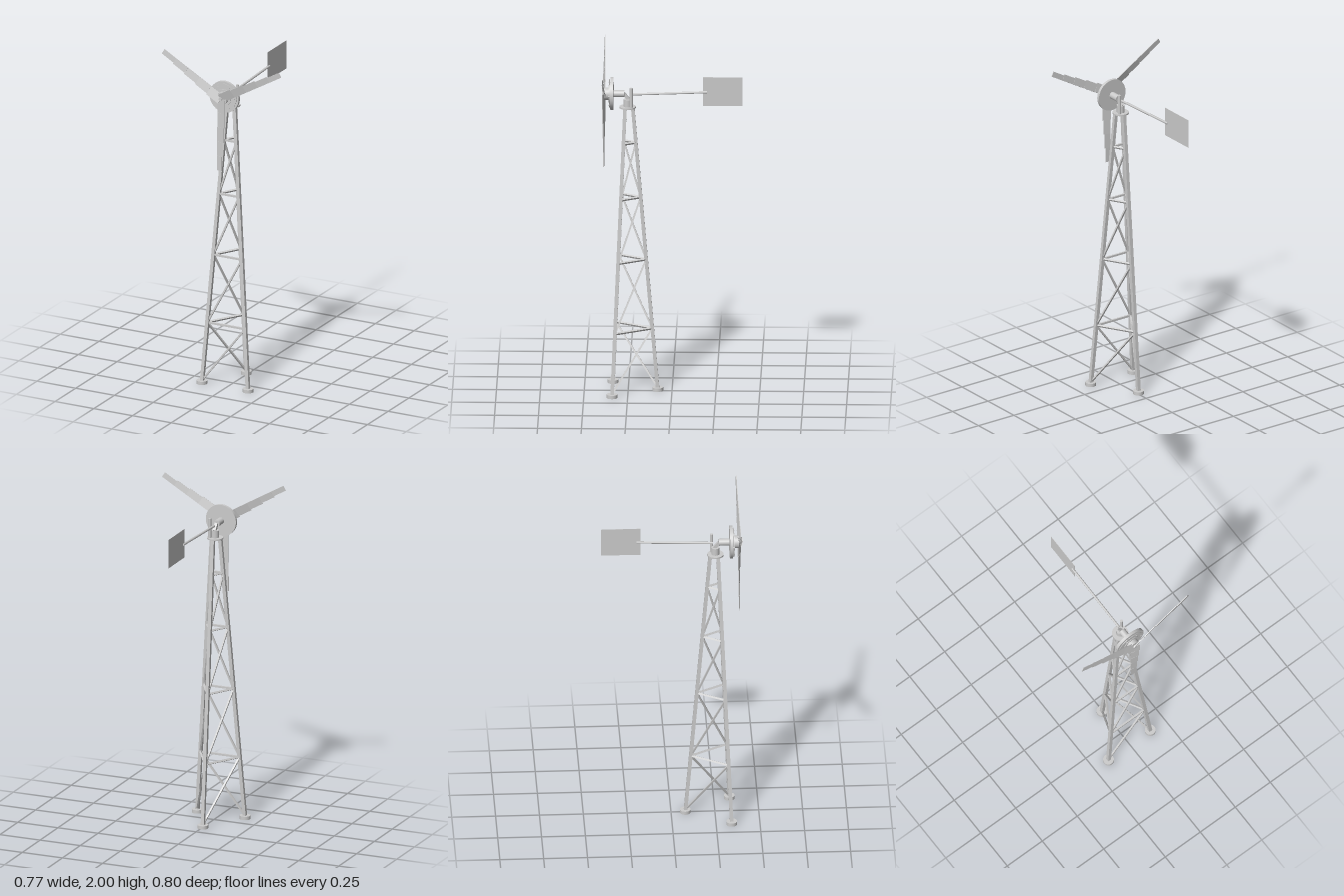
import * as THREE from 'three';

const mat = new THREE.MeshStandardMaterial({ color: 0xcccccc, side: THREE.DoubleSide });
const CX = -0.006, CZ = 0.253, HUB_Y = 1.765;
const V = (x, y, z) => new THREE.Vector3(x, y, z);

export function createModel() {
  const model = new THREE.Group();

  const add = (name, geo, x = 0, y = 0, z = 0, parent = model) => {
    const m = new THREE.Mesh(geo, mat);
    m.name = name;
    m.position.set(x, y, z);
    parent.add(m);
    return m;
  };

  // Square or round bar between two points
  const bar = (name, a, b, size, round = false, parent = model) => {
    const len = a.distanceTo(b);
    const geo = round
      ? new THREE.CylinderGeometry(size / 2, size / 2, len, 10)
      : new THREE.BoxGeometry(size, len, size);
    const m = add(name, geo, 0, 0, 0, parent);
    m.position.copy(a).lerp(b, 0.5);
    m.quaternion.setFromUnitVectors(V(0, 1, 0), b.clone().sub(a).normalize());
    return m;
  };

  // Cylinder lying along z between z0 and z1
  const drum = (name, r, z0, z1, x = CX, y = HUB_Y, seg = 32) =>
    add(name, new THREE.CylinderGeometry(r, r, z1 - z0, seg).rotateX(Math.PI / 2), x, y, (z0 + z1) / 2);

  // Three-legged tapering lattice tower, one diagonal per panel
  const tower = new THREE.Group();
  tower.name = 'tower';
  model.add(tower);
  const topY = 1.685;
  const legPoint = (i, y) => {
    const a = Math.PI / 6 + (i * Math.PI * 2) / 3;
    const r = THREE.MathUtils.lerp(0.172, 0.029, y / topY);
    return V(CX + r * Math.cos(a), y, CZ + r * Math.sin(a));
  };
  const levels = [0.02, 0.37, 0.78, 1.15, 1.475];
  for (let i = 0; i < 3; i++) {
    const j = (i + 1) % 3;
    const foot = legPoint(i, 0);
    add('foot', new THREE.CylinderGeometry(0.031, 0.031, 0.02, 32), foot.x, 0.01, foot.z, tower);
    bar('leg', legPoint(i, 0.01), legPoint(i, topY), 0.02, false, tower);
    for (let k = 1; k < levels.length; k++) {
      bar('crossbar', legPoint(i, levels[k]), legPoint(j, levels[k]), 0.011, false, tower);
      bar('diagonalBrace', legPoint(j, levels[k - 1]), legPoint(i, levels[k]), 0.01, false, tower);
    }
  }

  // Yaw platform, bearing and head
  add('platform', new THREE.CylinderGeometry(0.047, 0.047, 0.008, 32), CX, 1.686, CZ);
  add('yawBearing', new THREE.CylinderGeometry(0.023, 0.023, 0.043, 24), CX, 1.711, CZ);
  bar('headBracket', V(CX, 1.73, 0.245), V(CX, 1.765, 0.275), 0.018);
  add('sidePost', new THREE.CylinderGeometry(0.009, 0.009, 0.115, 16), 0.018, 1.748, 0.232);

  // Generator
  drum('shaftHousing', 0.02, 0.272, 0.333);
  drum('generatorDisc', 0.094, 0.334, 0.351);
  drum('generatorCore', 0.05, 0.351, 0.362);
  drum('generatorCover', 0.083, 0.355, 0.358);
  drum('hub', 0.036, 0.358, 0.386);
  drum('shaft', 0.01, 0.38, 0.397);
  for (let i = 0; i < 6; i++) {
    const a = (i * Math.PI) / 3;
    drum('bolt', 0.004, 0.351, 0.362, CX + 0.068 * Math.cos(a), HUB_Y + 0.068 * Math.sin(a), 8);
  }

  // Three stepped, twisted blades with one nearly straight edge
  const rotor = new THREE.Group();
  rotor.name = 'rotor';
  rotor.position.set(CX, HUB_Y, 0.389);
  model.add(rotor);
  for (let b = 0; b < 3; b++) {
    const blade = new THREE.Group();
    blade.name = 'blade';
    blade.rotation.z = (b * Math.PI * 2) / 3;
    rotor.add(blade);
    const n = 5, step = 0.435 / n;
    for (let s = 0; s < n; s++) {
      const t = s / (n - 1);
      const width = THREE.MathUtils.lerp(0.057, 0.031, t);
      const section = add('bladeSection', new THREE.BoxGeometry(width, step, 0.004),
        -0.025 + width / 2, -step * (s + 0.5), 0, blade);
      section.rotation.y = -THREE.MathUtils.lerp(0.3, 0.1, t);
    }
  }

  // Tail boom and vane
  bar('tailBoom', V(CX, 1.761, 0.24), V(CX, 1.777, -0.198), 0.014, true);
  add('tailVane', new THREE.BoxGeometry(0.002, 0.17, 0.225), CX, 1.781, -0.2875);

  return model;
}
